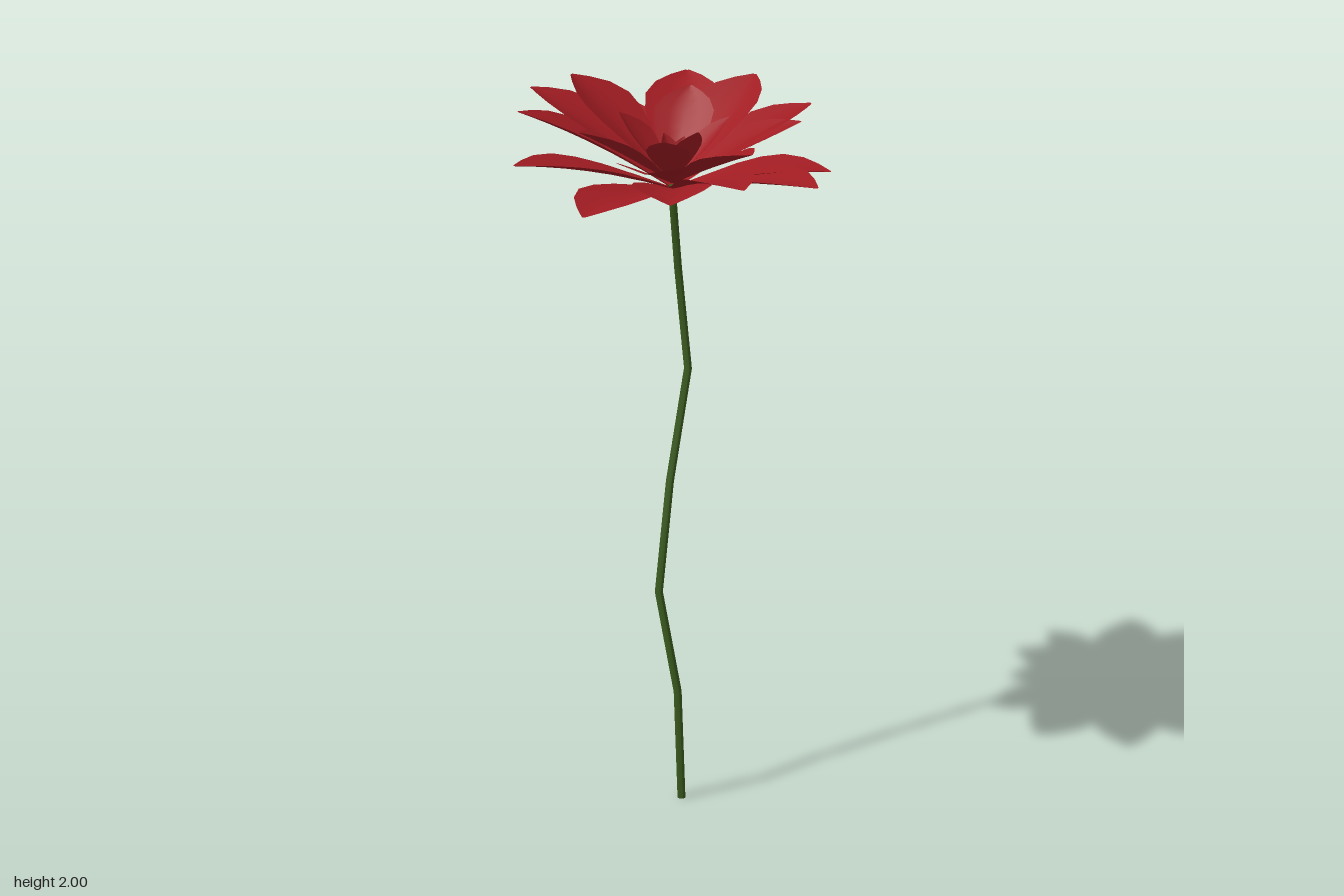
import * as THREE from 'three';

const red = new THREE.MeshStandardMaterial({ color: 0xa01c22, side: THREE.DoubleSide });
const green = new THREE.MeshStandardMaterial({ color: 0x3a5a1e });

// Half-width of a petal along its length: [position, fraction of full half-width]
const OUTLINE = [[0, 0.14], [0.2, 0.4], [0.4, 0.75], [0.55, 0.95], [0.69, 1], [0.82, 0.78], [0.92, 0.42], [1, 0.05]];
const ACROSS = [-1, -0.5, 0, 0.5, 1];

// A cupped petal from base to tip; bow lifts (or sags) its middle, cup raises its edges
function petalGeometry(base, tip, halfWidth, bow, cup) {
  const middle = base.clone().lerp(tip, 0.5);
  middle.y += bow * 2;
  const spine = new THREE.QuadraticBezierCurve3(base, middle, tip);
  const side = new THREE.Vector3(tip.z - base.z, 0, base.x - tip.x).normalize();
  const positions = [], index = [], n = ACROSS.length;
  OUTLINE.forEach(([t, w], i) => {
    const p = spine.getPoint(t);
    const up = spine.getTangent(t).cross(side).normalize();
    for (const s of ACROSS) {
      const v = p.clone().addScaledVector(side, s * w * halfWidth)
        .addScaledVector(up, Math.pow(Math.abs(s), 1.3) * w * halfWidth * cup);
      positions.push(v.x, v.y, v.z);
    }
    if (i === 0) return;
    for (let j = 0; j < n - 1; j++) {
      const a = (i - 1) * n + j, b = i * n + j;
      index.push(a, b, a + 1, b, b + 1, a + 1);
    }
  });
  const g = new THREE.BufferGeometry();
  g.setAttribute('position', new THREE.Float32BufferAttribute(positions, 3));
  g.setIndex(index);
  g.computeVertexNormals();
  return g;
}

// A ring of petals; each entry is tip x, y, z and half-width
function petalRing(name, base, bow, cup, petals) {
  const ring = new THREE.Group();
  ring.name = name;
  petals.forEach(([x, y, z, w], i) => {
    const mesh = new THREE.Mesh(petalGeometry(base, new THREE.Vector3(x, y, z), w, bow, cup), red);
    mesh.name = `${name}${i + 1}`;
    ring.add(mesh);
  });
  return ring;
}

// Kinked stem: each ring of a cylinder is moved onto a path point
function stem() {
  const path = [[0.015, 0, 0.04], [0, 0.33, 0.047], [-0.04, 0.62, 0.01], [0.01, 0.92, -0.03],
    [0.08, 1.22, -0.07], [0.055, 1.5, -0.08], [0.015, 1.74, -0.03]];
  const last = path.length - 1;
  const g = new THREE.CylinderGeometry(0.011, 0.012, last, 8, last);
  const pos = g.attributes.position;
  for (let i = 0; i < pos.count; i++) {
    const [x, y, z] = path[Math.round(pos.getY(i) + last / 2)];
    pos.setXYZ(i, pos.getX(i) + x, y, pos.getZ(i) + z);
  }
  g.computeVertexNormals();
  const mesh = new THREE.Mesh(g, green);
  mesh.name = 'stem';
  return mesh;
}

export function createModel() {
  const model = new THREE.Group();
  model.name = 'flower';
  model.add(stem());

  const at = (y) => new THREE.Vector3(0.018, y, -0.025);
  // Wide outer petals, clockwise from the back
  model.add(petalRing('outerPetal', at(1.73), 0.015, 0.25, [
    [-0.03, 1.9, -0.405, 0.085], [0.21, 1.96, -0.375, 0.1], [0.335, 1.97, -0.21, 0.095],
    [0.425, 1.915, -0.05, 0.085], [0.375, 1.785, 0.17, 0.1], [0.24, 1.8, 0.365, 0.1],
    [0.02, 1.825, 0.4, 0.09], [-0.17, 1.805, 0.39, 0.1], [-0.33, 1.75, 0.22, 0.1],
    [-0.43, 1.84, 0, 0.085], [-0.36, 1.94, -0.155, 0.09], [-0.265, 1.965, -0.315, 0.095],
  ]));
  // Middle petals lying over the outer ones
  model.add(petalRing('middlePetal', at(1.745), 0.005, 0.28, [
    [0.355, 1.89, 0.035, 0.09], [0.115, 1.87, 0.245, 0.085], [-0.2, 1.865, 0.3, 0.1],
    [-0.255, 1.91, 0.005, 0.08], [-0.16, 1.995, -0.29, 0.1], [0.14, 1.96, -0.195, 0.08],
  ]));
  // Steeper inner petals
  model.add(petalRing('innerPetal', at(1.755), -0.01, 0.35, [
    [0.17, 1.91, -0.01, 0.055], [-0.085, 1.9, 0.15, 0.055], [-0.09, 1.92, -0.13, 0.06], [0.04, 1.9, 0.08, 0.045],
  ]));
  // Small upright bud petals
  model.add(petalRing('budPetal', at(1.76), -0.01, 0.6, [
    [0.06, 1.86, -0.05, 0.028], [0.03, 1.87, 0.03, 0.028], [-0.03, 1.86, -0.02, 0.028], [0.01, 1.87, -0.07, 0.028],
  ]));
  return model;
}
